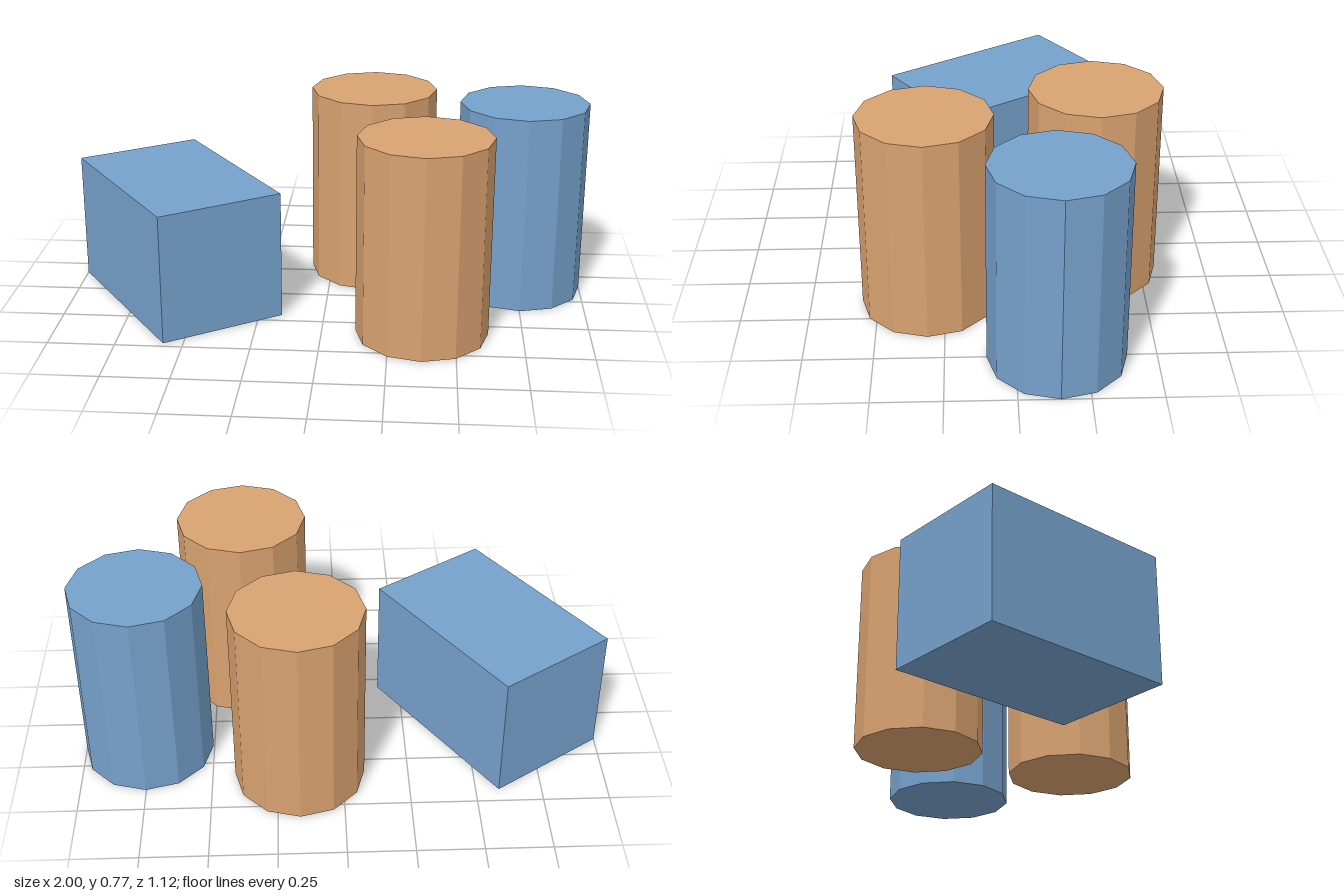
import * as THREE from 'three';

const blue = new THREE.MeshStandardMaterial({ color: 0x76a1cc });
blue.name = 'softBlue';
const tan = new THREE.MeshStandardMaterial({ color: 0xd9a270 });
tan.name = 'warmTan';
blue.flatShading = tan.flatShading = true;

const WIDTH = 0.496;
const LENGTH = 0.766;

export function createModel() {
  const model = new THREE.Group();
  model.name = 'pillarsAndBlock';

  // Three upright twelve-sided pillars
  const pillarGeometry = new THREE.CylinderGeometry(WIDTH / 2, WIDTH / 2, LENGTH, 12);
  const pillars = [
    ['backPillar', tan, 0.166, -0.312],
    ['frontPillar', tan, 0.374, 0.312],
    ['leftPillar', blue, 0.752, -0.146],
  ];
  for (const [name, material, x, z] of pillars) {
    const pillar = new THREE.Mesh(pillarGeometry, material);
    pillar.name = name;
    pillar.position.set(x, LENGTH / 2, z);
    model.add(pillar);
  }

  // Square-ended block lying on its side, turned at an angle
  const block = new THREE.Mesh(new THREE.BoxGeometry(WIDTH, WIDTH, LENGTH), blue);
  block.name = 'lyingBlock';
  block.position.set(-0.581, WIDTH / 2, 0.019);
  block.rotation.y = THREE.MathUtils.degToRad(33.8);
  model.add(block);

  return model;
}
